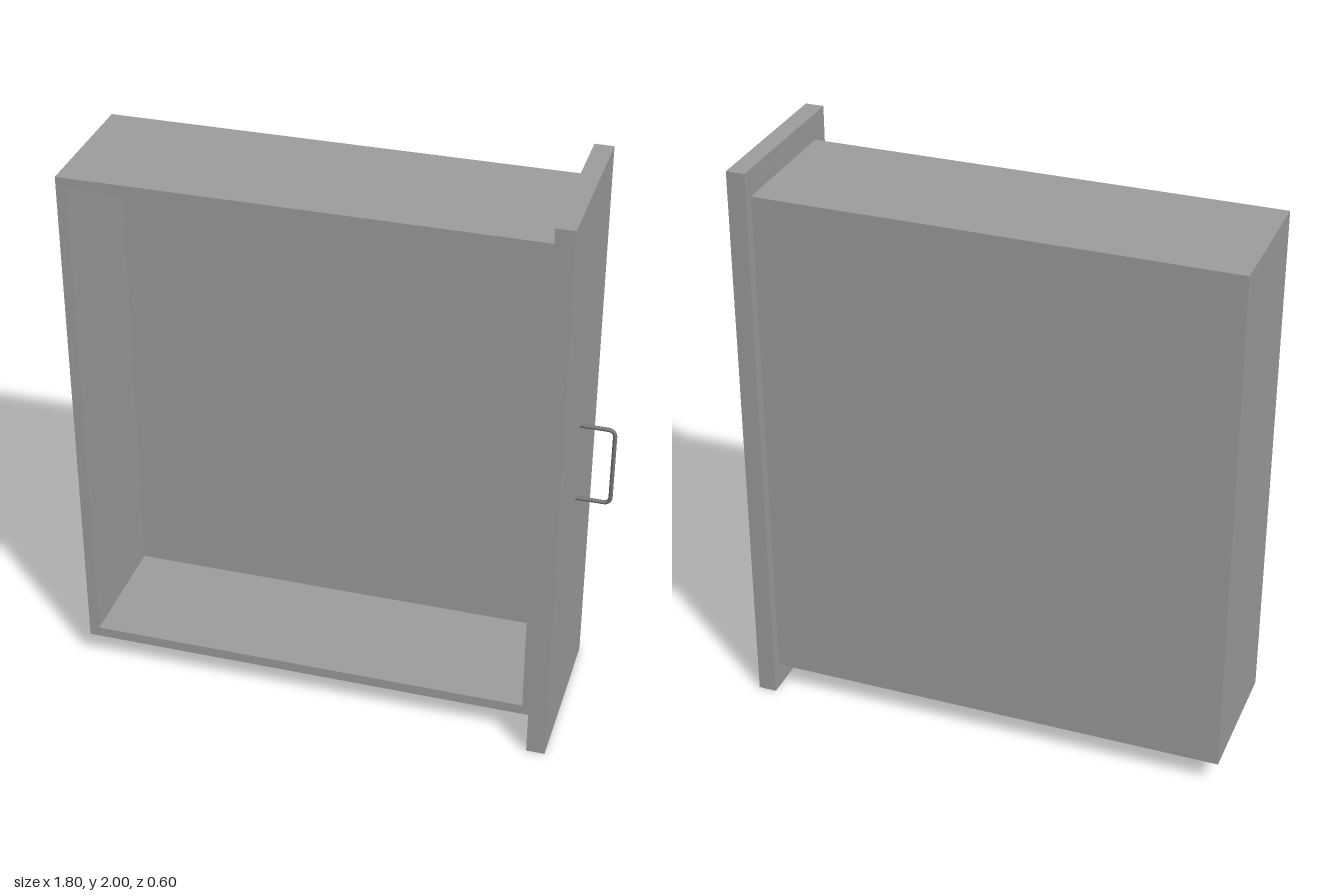
import * as THREE from 'three';

const boardMaterial = new THREE.MeshStandardMaterial({ color: 0x9d9d9d });
const handleMaterial = new THREE.MeshStandardMaterial({ color: 0x777777 });

function addMesh(group, name, geometry, material) {
  const mesh = new THREE.Mesh(geometry, material);
  mesh.name = name;
  group.add(mesh);
}

// Box given by its minimum and maximum corners
function span(x0, x1, y0, y1, z0, z1) {
  return new THREE.BoxGeometry(x1 - x0, y1 - y0, z1 - z0)
    .translate((x0 + x1) / 2, (y0 + y1) / 2, (z0 + z1) / 2);
}

function rectangle(PathType, x0, x1, y0, y1) {
  return new PathType([[x0, y0], [x1, y0], [x1, y1], [x0, y1]].map(([x, y]) => new THREE.Vector2(x, y)));
}

export function createModel() {
  const group = new THREE.Group();
  group.name = 'drawer';

  const x0 = -0.902, x1 = 0.716, y0 = 0.093, y1 = 1.909;
  const back = -0.265, floor = -0.23, rim = 0.225, wall = 0.036;

  // Four walls as one rectangular frame, open towards +z
  const frame = rectangle(THREE.Shape, x0, x1, y0, y1);
  frame.holes.push(rectangle(THREE.Path, x0 + wall, x1 - wall, y0 + wall, y1 - wall));
  addMesh(group, 'walls', new THREE.ExtrudeGeometry(frame, { depth: rim - back, bevelEnabled: false })
    .translate(0, 0, back), boardMaterial);

  // Bottom board set inside the walls
  addMesh(group, 'bottomBoard', span(x0 + wall, x1 - wall, y0 + wall, y1 - wall, back, floor), boardMaterial);

  // Overhanging face panel
  addMesh(group, 'facePanel', span(x1, 0.78, 0, 2, -0.3, 0.3), boardMaterial);

  // Round bar handle with rounded corners
  const r = 0.007, bend = 0.025, inX = 0.775, outX = 0.902 - r, low = 0.86, high = 1.143;
  const v = (x, y) => new THREE.Vector3(x, y, 0);
  const path = new THREE.CurvePath();
  path.add(new THREE.LineCurve3(v(inX, low), v(outX - bend, low)));
  path.add(new THREE.QuadraticBezierCurve3(v(outX - bend, low), v(outX, low), v(outX, low + bend)));
  path.add(new THREE.LineCurve3(v(outX, low + bend), v(outX, high - bend)));
  path.add(new THREE.QuadraticBezierCurve3(v(outX, high - bend), v(outX, high), v(outX - bend, high)));
  path.add(new THREE.LineCurve3(v(outX - bend, high), v(inX, high)));
  addMesh(group, 'handle', new THREE.TubeGeometry(path, 96, r, 12, false), handleMaterial);

  return group;
}
